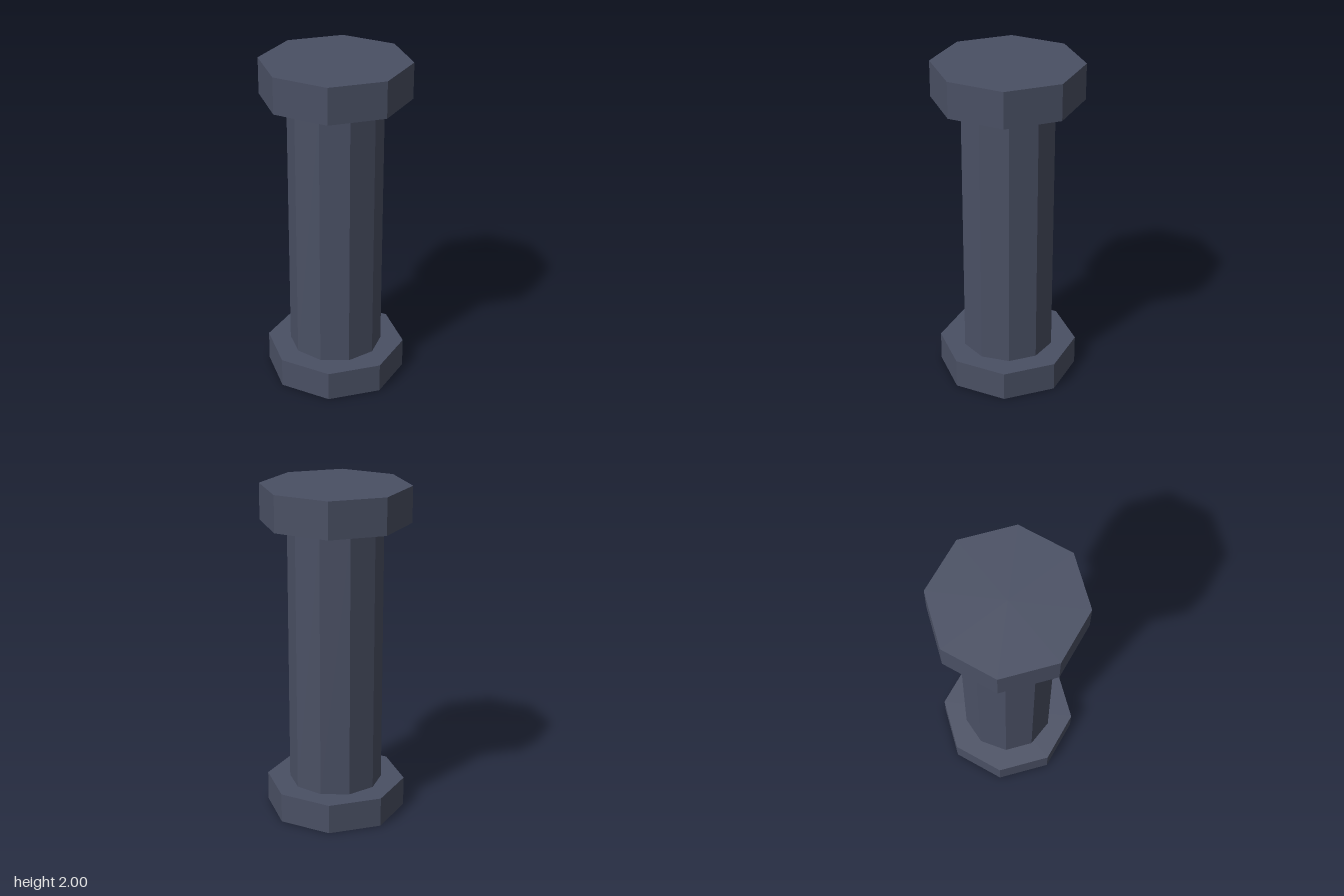
import * as THREE from 'three';

export function createModel() {
  const model = new THREE.Group();
  model.name = 'column';

  const slate = new THREE.MeshStandardMaterial({ color: 0x4a5064 });
  slate.name = 'slate';
  slate.flatShading = true;

  // Upright prism between two heights, turned about its axis
  function prism(name, radius, sides, bottom, top, turn = 0) {
    const geometry = new THREE.CylinderGeometry(radius, radius, top - bottom, sides);
    geometry.rotateY(turn);
    const mesh = new THREE.Mesh(geometry, slate);
    mesh.name = name;
    mesh.position.y = (bottom + top) / 2;
    model.add(mesh);
  }

  // Octagonal base and capital have a flat side to the front; the ten-sided shaft has an edge there
  prism('base', 0.42, 8, 0, 0.18, Math.PI / 8);
  prism('shaft', 0.28, 10, 0.18, 1.785);
  prism('capital', 0.44, 8, 1.785, 2, Math.PI / 8);

  return model;
}
